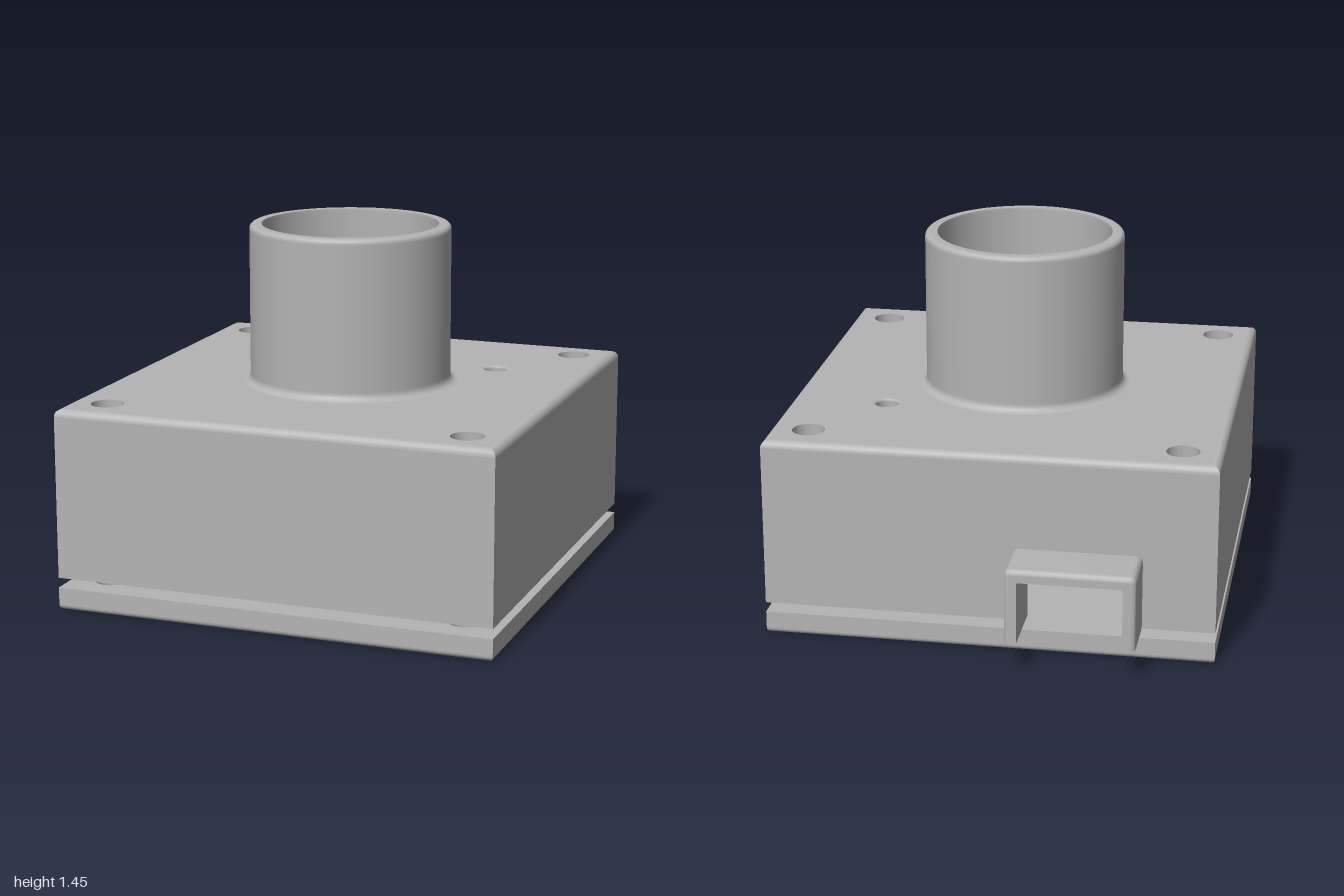
import * as THREE from 'three';
import { toCreasedNormals } from 'three/addons/utils/BufferGeometryUtils.js';

const HALF = 0.89, INNER = 0.84, BOLT = 0.735;
const plastic = new THREE.MeshStandardMaterial({ color: 0xb4b4b4 });
plastic.name = 'greyPlastic';

const V = (x, y) => new THREE.Vector2(x, y);
const square = h => [V(-h, -h), V(h, -h), V(h, h), V(-h, h)];
const circle = (x, y, r) => new THREE.Path().absarc(x, y, r, 0, Math.PI * 2, true);
const boltHoles = () => [[1, 1], [1, -1], [-1, -1], [-1, 1]].map(([x, y]) => circle(x * BOLT, y * BOLT, 0.065));

// Prism of an outline between two heights
function prism(points, holes, from, to) {
  const shape = new THREE.Shape(points);
  shape.holes.push(...holes);
  const g = new THREE.ExtrudeGeometry(shape, { depth: to - from, bevelEnabled: false, curveSegments: 24 });
  return toCreasedNormals(g.translate(0, 0, from), 0.5);
}

// Skin between stacked outlines: rings = [[points, height], ...]
function loft(rings, closed) {
  const n = rings[0][0].length, pos = [], index = [];
  rings.forEach(([pts, h]) => pts.forEach(p => pos.push(p.x, p.y, h)));
  for (let j = 0; j < rings.length - 1; j++) {
    for (let i = 0; i < (closed ? n : n - 1); i++) {
      const a = j * n + i, b = j * n + (i + 1) % n;
      index.push(a, b, b + n, a, b + n, a + n);
    }
  }
  const g = new THREE.BufferGeometry();
  g.setAttribute('position', new THREE.Float32BufferAttribute(pos, 3));
  g.setIndex(index);
  return toCreasedNormals(g, 0.5);
}

// Rounded edge: outline(inset) swept through a quarter circle
function roundEdge(outline, r, from, closed, atTop) {
  const rings = [];
  for (let i = 0; i <= 6; i++) {
    const a = i / 6 * Math.PI / 2;
    rings.push(atTop
      ? [outline(r * (1 - Math.cos(a))), from + r * Math.sin(a)]
      : [outline(r * (1 - Math.sin(a))), from + r * (1 - Math.cos(a))]);
  }
  return loft(rings, closed);
}

// Cavity outline, clockwise, with a rounded screw post in each corner
function cavity() {
  const base = [V(BOLT - 0.12, INNER)];
  for (let i = 0; i <= 8; i++) {
    const a = Math.PI + i / 8 * Math.PI / 2;
    base.push(V(BOLT + 0.12 * Math.cos(a), BOLT + 0.12 * Math.sin(a)));
  }
  base.push(V(INNER, BOLT - 0.12));
  const pts = [];
  for (let k = 0; k < 4; k++) {
    for (const p of base) {
      let q = p.clone();
      for (let j = 0; j < k; j++) q = V(q.y, -q.x);
      pts.push(q);
    }
  }
  return pts;
}

// Port hood outline: an upside-down U with rounded outer top corners
const PORT = { left: -0.605, right: -0.10, top: 0.43, bottom: 0.13, wall: 0.05 };
function hood(inset) {
  const r = 0.025 - inset, x0 = PORT.left + inset, x1 = PORT.right - inset, top = PORT.top - inset;
  const pts = [V(x1, PORT.bottom)];
  for (const [cx, start] of [[x1 - r, 0], [x0 + r, Math.PI / 2]]) {
    for (let i = 0; i <= 5; i++) {
      const a = start + i / 5 * Math.PI / 2;
      pts.push(V(cx + r * Math.cos(a), top - r + r * Math.sin(a)));
    }
  }
  pts.push(V(x0, PORT.bottom));
  return pts;
}
function hoodSection(inset) {
  const l = PORT.left + PORT.wall, r = PORT.right - PORT.wall, t = PORT.top - PORT.wall;
  return [...hood(inset), V(l, PORT.bottom), V(l, t), V(r, t), V(r, PORT.bottom)];
}

export function createModel() {
  const model = new THREE.Group();
  model.name = 'housing';
  const add = (name, geometry, parent) => {
    const m = new THREE.Mesh(geometry, plastic);
    m.name = name;
    parent.add(m);
    return m;
  };

  // Parts drawn in plan and stood upright
  const plan = new THREE.Group();
  plan.name = 'case';
  plan.rotation.x = -Math.PI / 2;
  plan.position.z = 0.105;
  model.add(plan);
  const inset = d => square(HALF - d);

  // Base plate with rounded lower edge
  add('basePlate', prism(square(HALF), boltHoles(), 0.02, 0.09), plan);
  add('basePlateUnderside', prism(square(HALF - 0.02), boltHoles(), 0, 0.02), plan);
  add('basePlateEdge', roundEdge(inset, 0.02, 0, true, false), plan);

  // Walls, open at the back for the port
  const openL = PORT.left + PORT.wall, openR = PORT.right - PORT.wall, openTop = PORT.top - PORT.wall;
  const lower = [V(-HALF, -HALF), V(HALF, -HALF), V(HALF, HALF), V(openR, HALF), V(openR, INNER),
    ...cavity(), V(openL, INNER), V(openL, HALF), V(-HALF, HALF)];
  add('lowerWalls', prism(lower, boltHoles(), 0.13, openTop), plan);
  add('upperWalls', prism(square(HALF), [new THREE.Path(cavity()), ...boltHoles()], openTop, 0.78), plan);

  // Lid with rounded upper edge
  const lidHoles = [...boltHoles(), circle(0, 0, 0.355), circle(0.5, 0.375, 0.055)];
  add('lid', prism(square(HALF - 0.03), lidHoles, 0.76, 0.81), plan);
  add('lidEdge', roundEdge(inset, 0.03, 0.78, true, true), plan);

  // Tube: flared foot, straight wall, rounded rim, open bore
  const profile = [];
  for (let i = 0; i <= 6; i++) {
    const a = i / 6 * Math.PI / 2;
    profile.push(V(0.435 - 0.03 * Math.sin(a), 0.84 - 0.03 * Math.cos(a)));
  }
  profile.push(V(0.405, 0.845), V(0.405, 1.425));
  for (let i = 0; i <= 6; i++) {
    const a = i / 6 * Math.PI / 2;
    profile.push(V(0.385 + 0.02 * Math.cos(a), 1.43 + 0.02 * Math.sin(a)));
  }
  profile.push(V(0.356, 1.45), V(0.355, 1.449), V(0.355, 1.44), V(0.355, 0.81));
  add('tube', new THREE.LatheGeometry(profile, 72), model).position.z = 0.105;

  // Small hole with a softened lip
  const lip = [V(0.055, 0.81), V(0.05, 0.8085), V(0.0465, 0.805), V(0.045, 0.8), V(0.045, 0.76)];
  add('smallHole', new THREE.LatheGeometry(lip, 32), model).position.set(0.5, 0, -0.27);

  // Port hood at the back, rounded around its outer mouth
  add('portHood', prism(hoodSection(0), [], -0.98, -0.785), model);
  add('portMouth', prism(hoodSection(0.02), [], -1, -0.98), model);
  add('portMouthEdge', roundEdge(hood, 0.02, -1, false, false), model);
  return model;
}
